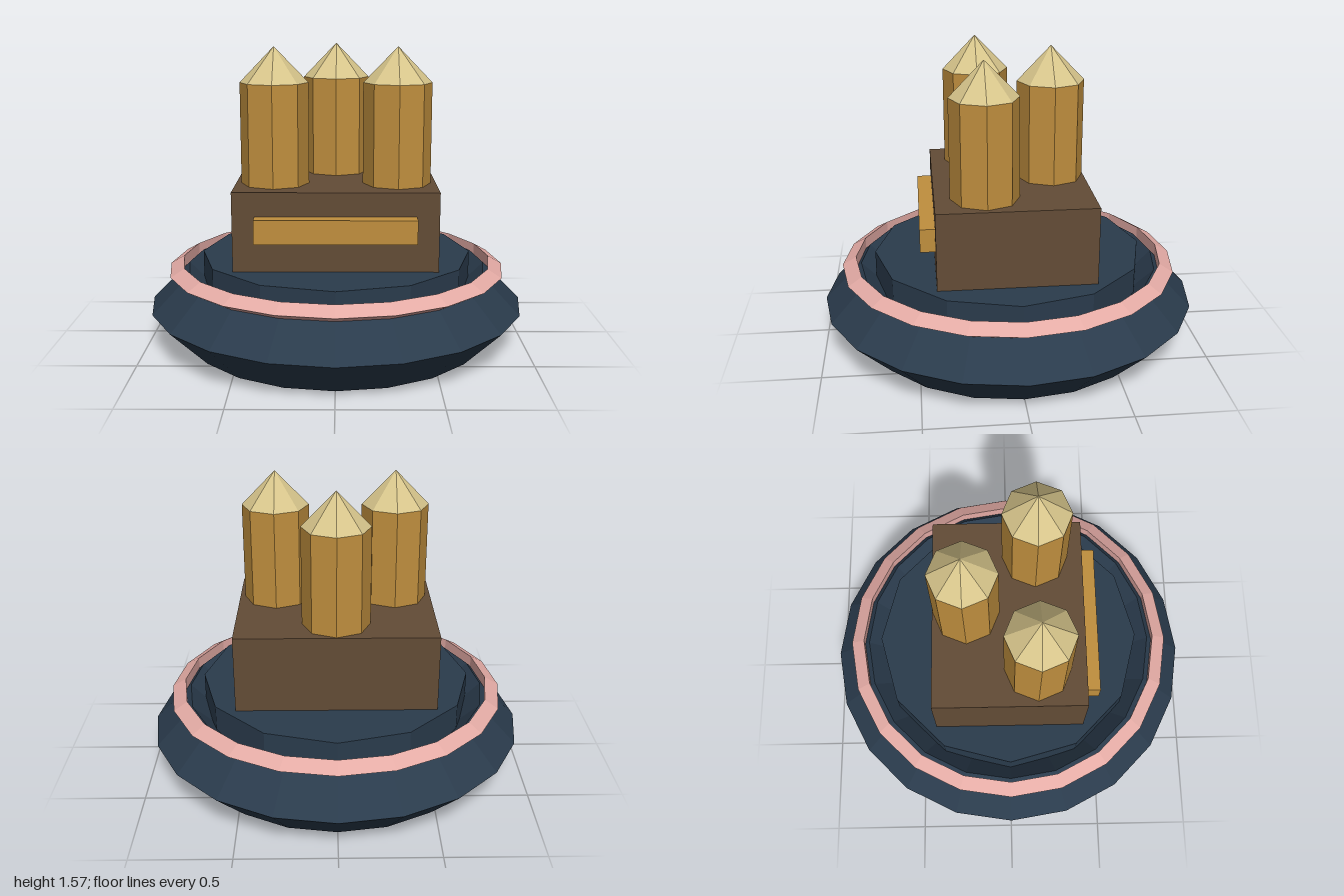
import * as THREE from 'three';

const mat = (name, color) => {
  const m = new THREE.MeshStandardMaterial({ color, flatShading: true });
  m.name = name;
  return m;
};

export function createModel() {
  const model = new THREE.Group();
  const navy = mat('navy', 0x2a3b4c);
  const pink = mat('pink', 0xe4aba5);
  const brown = mat('brown', 0x634c36);
  const gold = mat('gold', 0xc08f3e);
  const cream = mat('cream', 0xd7c58b);

  const add = (name, geometry, material, x, y, z, parent = model) => {
    const mesh = new THREE.Mesh(geometry, material);
    mesh.name = name;
    mesh.position.set(x, y, z);
    parent.add(mesh);
    return mesh;
  };
  const ring = (radius, tube, sides) =>
    new THREE.TorusGeometry(radius, tube, sides, 20).rotateX(Math.PI / 2);

  // Base: diamond-section ring, slim triangular trim and a twelve-sided deck
  add('baseRing', ring(0.8, 0.2, 4), navy, 0, 0.2, 0);
  add('trimRing', ring(0.851, 0.049, 3), pink, 0, 0.394, 0);
  add('deck', new THREE.CylinderGeometry(0.722, 0.722, 0.205, 12), navy, 0, 0.3615, 0);

  // Block with a bar across its front
  add('block', new THREE.BoxGeometry(1.036, 0.411, 0.808), brown, 0, 0.6655, 0);
  add('frontBar', new THREE.BoxGeometry(0.808, 0.122, 0.08), gold, 0, 0.687, 0.441);

  // Three octagonal pillars with pointed caps
  const shaft = new THREE.CylinderGeometry(0.176, 0.176, 0.52, 8);
  const cap = new THREE.ConeGeometry(0.176, 0.182, 8);
  for (const [name, x, z] of [
    ['leftPillar', 0.315, 0.148],
    ['rightPillar', -0.315, 0.148],
    ['rearPillar', 0, -0.222],
  ]) {
    const pillar = new THREE.Group();
    pillar.name = name;
    pillar.position.set(x, 0.871, z);
    add('shaft', shaft, gold, 0, 0.26, 0, pillar);
    add('cap', cap, cream, 0, 0.611, 0, pillar);
    model.add(pillar);
  }
  return model;
}
